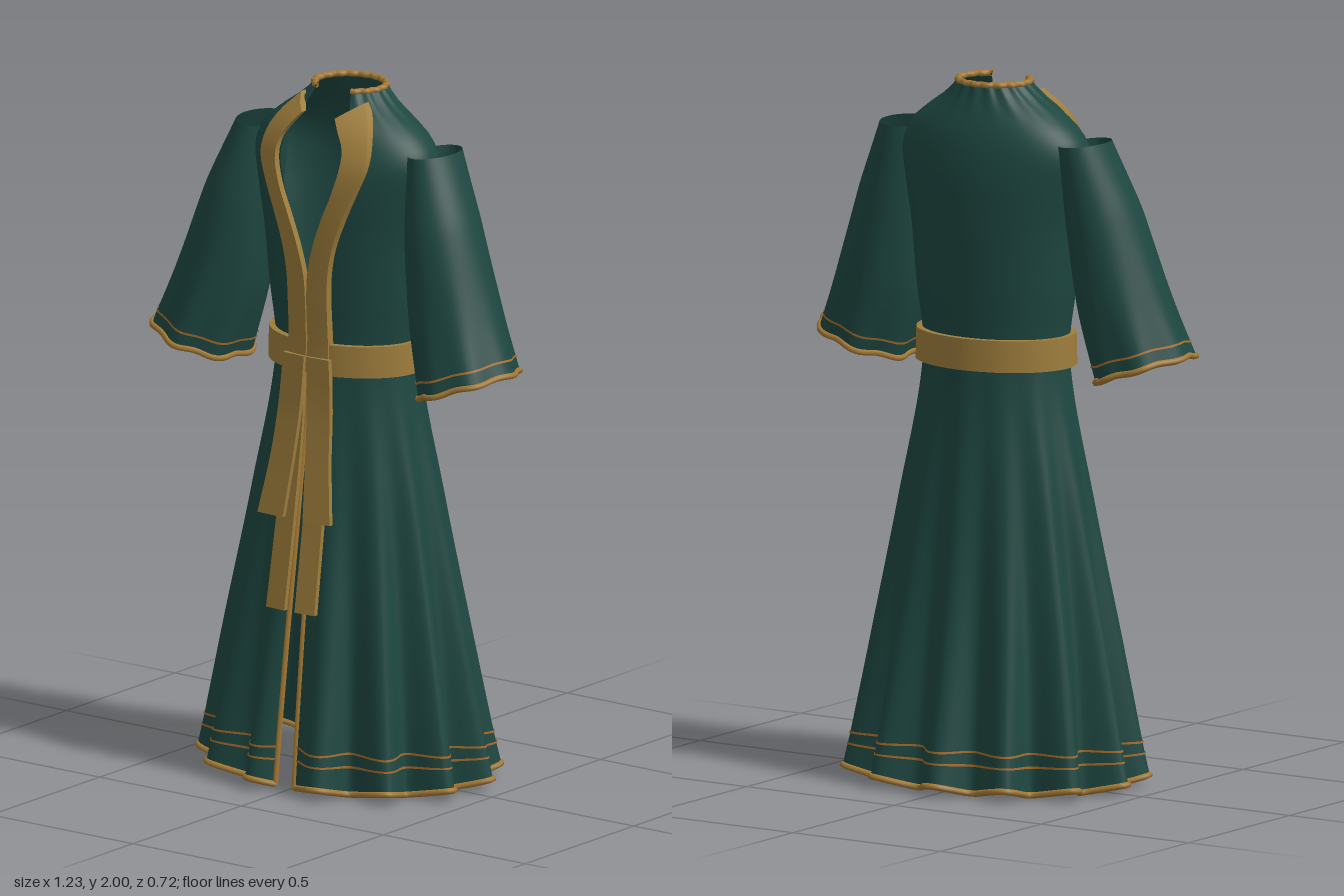
import * as THREE from 'three';
import { toCreasedNormals } from 'three/addons/utils/BufferGeometryUtils.js';

const V = (x, y, z) => new THREE.Vector3(x, y, z);
const range = (n, f) => Array.from({ length: n + 1 }, (_, i) => f(i / n));

// Robe profile: height, half width, front z, back z, pleat depth, opening half width
const PROFILE = [
  [0.02, 0.465, 0.358, -0.353, 0.103, 0.026],
  [0.40, 0.388, 0.288, -0.277, 0.07, 0.024],
  [0.80, 0.302, 0.22, -0.21, 0.035, 0.02],
  [1.20, 0.222, 0.176, -0.16, 0.004, 0.012],
  [1.42, 0.245, 0.183, -0.166, 0, 0.012],
  [1.58, 0.262, 0.19, -0.171, 0, 0.038],
  [1.72, 0.288, 0.19, -0.169, 0, 0.095],
  [1.80, 0.298, 0.18, -0.159, 0, 0.118],
  [1.86, 0.268, 0.16, -0.144, 0, 0.112],
  [1.91, 0.206, 0.138, -0.124, 0, 0.093],
  [1.95, 0.147, 0.114, -0.107, 0, 0.075],
  [1.99, 0.105, 0.09, -0.095, 0, 0.06],
];

// Smooth interpolation of a table whose first column is the key
function sample(rows, y) {
  let i = 0;
  while (i < rows.length - 2 && y > rows[i + 1][0]) i++;
  const slope = (k, c) => {
    const a = rows[Math.max(k - 1, 0)], b = rows[Math.min(k + 1, rows.length - 1)];
    return (b[c] - a[c]) / (b[0] - a[0]);
  };
  const p = rows[i], q = rows[i + 1], h = q[0] - p[0];
  const s = Math.min(1, Math.max(0, (y - p[0]) / h)), s2 = s * s, s3 = s2 * s;
  return p.map((v, c) => (2 * s3 - 3 * s2 + 1) * v + (3 * s2 - 2 * s3) * q[c]
    + h * ((s3 - 2 * s2 + s) * slope(i, c) + (s3 - s2) * slope(i + 1, c)));
}

// Point on the robe at a height and angle t (0 is the front); thirteen pleats run round it
function bodyPoint(y, t, off = 0) {
  const [, rx, front, back, pleat] = sample(PROFILE, y);
  const wave = Math.cos(13 * (t - 0.291));
  const neck = y > 1.9 ? 0.03 * (y - 1.9) / 0.09 * Math.cos(18 * t) : 0;
  const k = 1 + pleat * (wave - 1) + neck;
  const lift = 0.012 * wave * Math.max(0, 1 - (y - 0.02) / 0.1);
  return V((rx * k + off) * Math.sin(t), y + lift,
    (front + back) / 2 + ((front - back) / 2 * k + off) * Math.cos(t));
}
const openAngle = (y) => { const p = sample(PROFILE, y); return Math.asin(Math.min(0.95, p[5] / p[1])); };
const contour = (y, off, n) => {
  const a = openAngle(y);
  return range(n, (u) => bodyPoint(y, a + u * (2 * Math.PI - 2 * a), off));
};

// Surface through rings of points; closed rings wrap round, capped ones end in a flat face
function loft(rings, { closed = false, capped = false, crease = 0 } = {}) {
  if (capped) {
    const mid = (r) => { const c = V(0, 0, 0); r.forEach((p) => c.addScaledVector(p, 1 / r.length)); return r.map(() => c); };
    rings = [mid(rings[0]), ...rings, mid(rings[rings.length - 1])];
  }
  const n = rings[0].length, index = [];
  for (let j = 0; j < rings.length - 1; j++) {
    for (let i = 0; i < (closed ? n : n - 1); i++) {
      const a = j * n + i, b = j * n + (i + 1) % n;
      index.push(a, b, a + n, b, b + n, a + n);
    }
  }
  const geo = new THREE.BufferGeometry().setFromPoints(rings.flat());
  geo.setIndex(index);
  geo.computeVertexNormals();
  return crease ? toCreasedNormals(geo, crease) : geo;
}
const tube = (points, r, closed = false) =>
  new THREE.TubeGeometry(new THREE.CatmullRomCurve3(points, closed), points.length * 2, r, 6, closed);

export function createModel() {
  const model = new THREE.Group();
  const mat = (name, color) => Object.assign(
    new THREE.MeshStandardMaterial({ color, side: THREE.DoubleSide }), { name });
  const green = mat('green cloth', 0x1e4741);
  const gold = mat('gold cloth', 0x9e7d3c);
  const trim = mat('gold trim', 0xa67a34);
  const thread = mat('orange thread', 0xa86c28);
  const add = (name, geo, material) => {
    const m = new THREE.Mesh(geo, material);
    m.name = name;
    model.add(m);
  };

  // Robe body, open at the front
  add('robeBody', loft(range(80, (v) => contour(0.02 + 1.97 * v, 0, 208))), green);

  // Hem, neck edge and hem stitching
  add('hemTrim', tube(contour(0.02, 0, 156), 0.009), trim);
  add('neckTrim', tube(contour(1.99, 0, 90), 0.009), trim);
  for (const y of [0.09, 0.125]) {
    add('hemStitching', loft([contour(y - 0.003, 0.003, 208), contour(y + 0.003, 0.003, 208)]), thread);
  }

  // Belt round the waist
  const beltRings = range(96, (u) => {
    const t = u * 2 * Math.PI;
    return [[1.19, 0.022], [1.28, 0.02], [1.28, 0.0], [1.19, 0.0]].map(([y, off]) => {
      const p = bodyPoint(1.235, t, off);
      return V(p.x, y, p.z);
    });
  });
  add('belt', loft(beltRings, { closed: true, crease: 0.6 }), gold);

  // Lapel rows: height, inner x, outer x, distance off the body, drop of the inner edge
  const LAPEL = [
    [1.20, 0.004, 0.07, 0.026, 0], [1.45, 0.004, 0.07, 0.022, 0], [1.55, 0.024, 0.085, 0.022, 0],
    [1.65, 0.06, 0.12, 0.025, 0], [1.72, 0.09, 0.15, 0.028, 0], [1.80, 0.113, 0.18, 0.032, 0],
    [1.86, 0.11, 0.177, 0.032, 0.008], [1.92, 0.082, 0.15, 0.03, 0.024], [1.965, 0.058, 0.11, 0.024, 0.038],
  ];
  // Tail rows: height, inner x, outer x, z
  const SHORT = [[0.78, 0.035, 0.127, 0.265], [0.95, 0.022, 0.102, 0.236], [1.1, 0.012, 0.09, 0.215], [1.24, 0.004, 0.08, 0.208]];
  const LONG = [[0.515, 0.018, 0.085, 0.28], [0.8, 0.016, 0.08, 0.235], [1.0, 0.014, 0.078, 0.208], [1.22, 0.012, 0.07, 0.19]];

  const lapelRing = (y, side) => {
    const [, inner, outer, off, drop] = sample(LAPEL, y);
    const at = (x, o, d) => {
      const rx = sample(PROFILE, y - d)[1];
      const z = bodyPoint(y - d, Math.asin(Math.min(0.9, x / rx))).z + o;
      return V(side * x, y - d, z);
    };
    const mid = (inner + outer) / 2;
    return [at(inner, off, drop), at(mid, off, drop / 2), at(outer, off, 0),
      at(outer, off - 0.025, 0), at(inner, off - 0.02, drop)];
  };
  const tailRing = (rows, y, side) => {
    const [, a, b, z] = sample(rows, y);
    return [[a, z], [b, z - 0.004], [b, z - 0.018], [a, z - 0.014]].map(([x, d]) => V(side * x, y, d));
  };

  // Sleeve axis, and its half width (x, y) with half depth (z)
  const axis = new THREE.CatmullRomCurve3([V(0.303, 1.84, 0.005), V(0.35, 1.63, 0.03), V(0.405, 1.4, 0.045), V(0.468, 1.205, 0.062)]);
  const size = new THREE.CatmullRomCurve3([V(0.064, 0.005, 0.095), V(0.1, 0.03, 0.12), V(0.124, 0.04, 0.135), V(0.132, 0.045, 0.15)]);
  const sleeveRing = (v, side, off = 0) => {
    const c = axis.getPoint(v), s = size.getPoint(v);
    return range(63, (u) => {
      const a = u * 63 / 64 * 2 * Math.PI;
      const k = 1 + off + 0.045 * v ** 3 * Math.cos(7 * a + 0.6);
      return V(side * (c.x + s.x * k * Math.cos(a)),
        c.y + s.y * k * Math.cos(a) + 0.003 * v ** 6 * Math.sin(7 * a),
        c.z + s.z * k * Math.sin(a));
    });
  };

  for (const side of [1, -1]) {
    const which = side > 0 ? 'left' : 'right';
    const solid = { closed: true, capped: true, crease: 0.6 };
    add(which + 'Lapel', loft(range(36, (v) => lapelRing(1.2 + 0.765 * v, side)), solid), gold);
    add(which + 'ShortBeltTail', loft(range(12, (v) => tailRing(SHORT, 0.78 + 0.46 * v, side)), solid), gold);
    add(which + 'LongBeltTail', loft(range(12, (v) => tailRing(LONG, 0.515 + 0.705 * v, side)), solid), gold);

    // Piping down the skirt opening
    add(which + 'FrontTrim', tube(range(30, (v) => {
      const y = 0.02 + 1.18 * v;
      return bodyPoint(y, side * openAngle(y));
    }), 0.008), trim);

    // Flared sleeve with a wavy cuff
    add(which + 'Sleeve', loft(range(28, (v) => sleeveRing(v, side)), { closed: true }), green);
    add(which + 'CuffTrim', tube(sleeveRing(1, side), 0.009, true), trim);
    add(which + 'CuffStitching', loft([sleeveRing(0.925, side, 0.02), sleeveRing(0.935, side, 0.02)], { closed: true }), thread);
  }
  return model;
}
